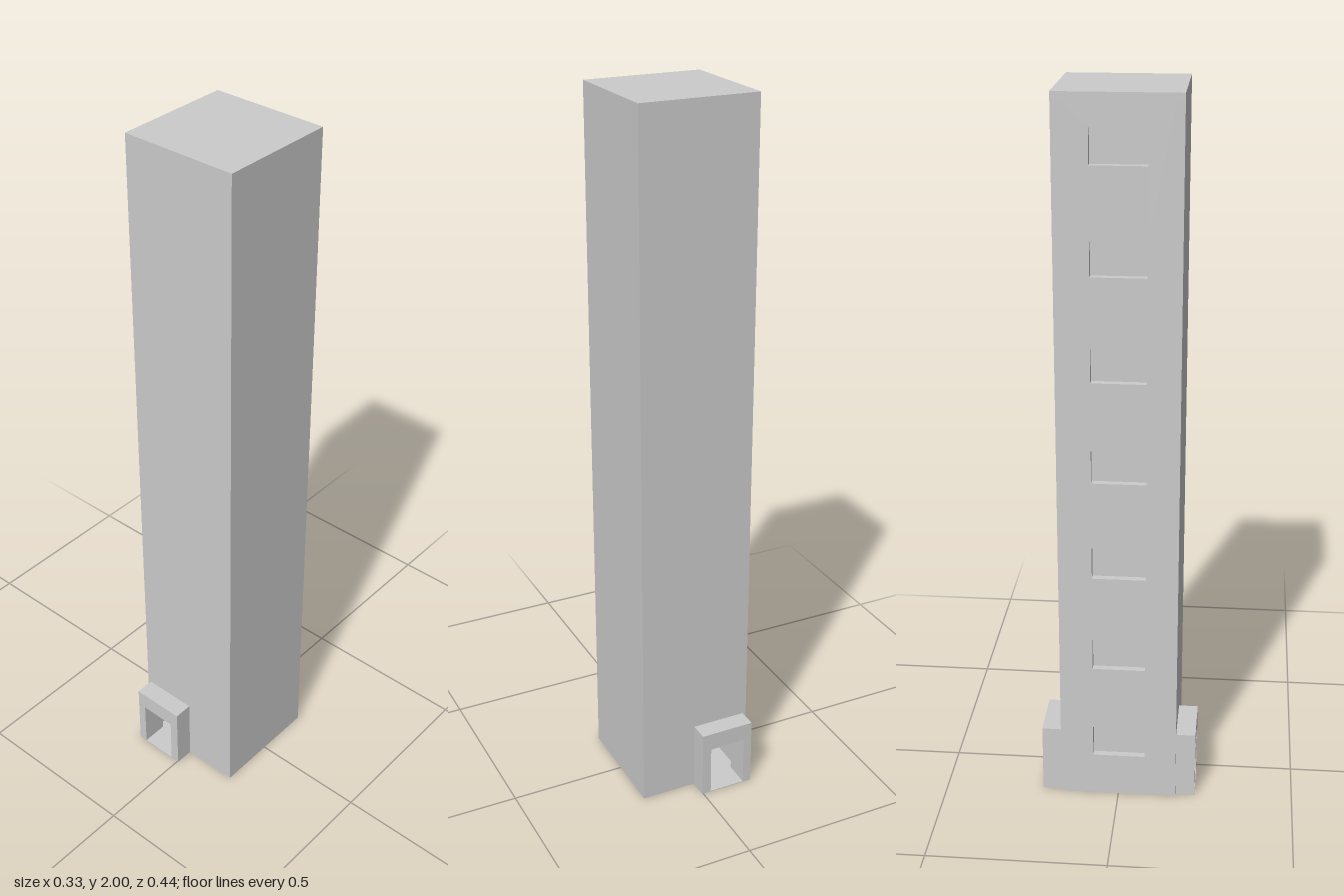
import * as THREE from 'three';

const HALF = 0.165, HEIGHT = 2, WALL = 0.02;
const DOOR = [-0.13, 0, -0.024, 0.147];

const material = new THREE.MeshStandardMaterial({ color: 0xcccccc, flatShading: true });

function rect(Type, x0, y0, x1, y1) {
  const r = new Type();
  r.moveTo(x0, y0);
  r.lineTo(x1, y0);
  r.lineTo(x1, y1);
  r.lineTo(x0, y1);
  r.closePath();
  return r;
}

// Wall standing on the ground with a doorway open at its foot
function doorway(x0, x1, top, depth) {
  const [d0, , d1, dTop] = DOOR;
  const points = [[x0, 0], [d0, 0], [d0, dTop], [d1, dTop], [d1, 0], [x1, 0], [x1, top], [x0, top]];
  const shape = new THREE.Shape(points.map(([x, y]) => new THREE.Vector2(x, y)));
  return new THREE.ExtrudeGeometry(shape, { depth, bevelEnabled: false });
}

function box(x0, y0, z0, x1, y1, z1) {
  return new THREE.BoxGeometry(x1 - x0, y1 - y0, z1 - z0)
    .translate((x0 + x1) / 2, (y0 + y1) / 2, (z0 + z1) / 2);
}

export function createModel() {
  const model = new THREE.Group();
  model.name = 'tower';
  const add = (name, geometry) => {
    const mesh = new THREE.Mesh(geometry, material);
    mesh.name = name;
    model.add(mesh);
    return mesh;
  };
  const inner = HALF - WALL;

  // Right wall with a column of seven windows
  const side = rect(THREE.Shape, -inner, 0, inner, HEIGHT - WALL);
  for (let i = 0; i < 7; i++) {
    const y = 0.127 + i * 0.2826;
    side.holes.push(rect(THREE.Path, -0.072, y, 0.076, y + 0.092));
    add('windowPane', box(-inner, y - 0.01, -0.082, -inner + 0.005, y + 0.102, 0.086));
  }
  add('rightWall', new THREE.ExtrudeGeometry(side, { depth: WALL, bevelEnabled: false })
    .rotateY(-Math.PI / 2).translate(-inner, 0, 0));

  // Blank left wall, roof and thin ground floor
  add('leftWall', box(inner, 0, -inner, HALF, HEIGHT - WALL, inner));
  add('roof', box(-HALF, HEIGHT - WALL, -HALF, HALF, HEIGHT, HALF));
  add('floor', box(-inner, 0, -HALF, inner, 0.002, HALF));

  // Front and back walls, each with a porch around its doorway
  for (const [name, s] of [['front', 1], ['back', -1]]) {
    const wallZ = s > 0 ? inner : -HALF;
    const porchZ = s > 0 ? HALF : -0.22;
    add(name + 'Wall', doorway(-HALF, HALF, HEIGHT - WALL, WALL)).position.z = wallZ;
    add(name + 'Porch', doorway(-0.155, 0.003, 0.2, 0.055)).position.z = porchZ;
    add(name + 'PorchFloor', box(DOOR[0], 0, porchZ, DOOR[2], 0.002, porchZ + 0.055));
  }
  return model;
}
